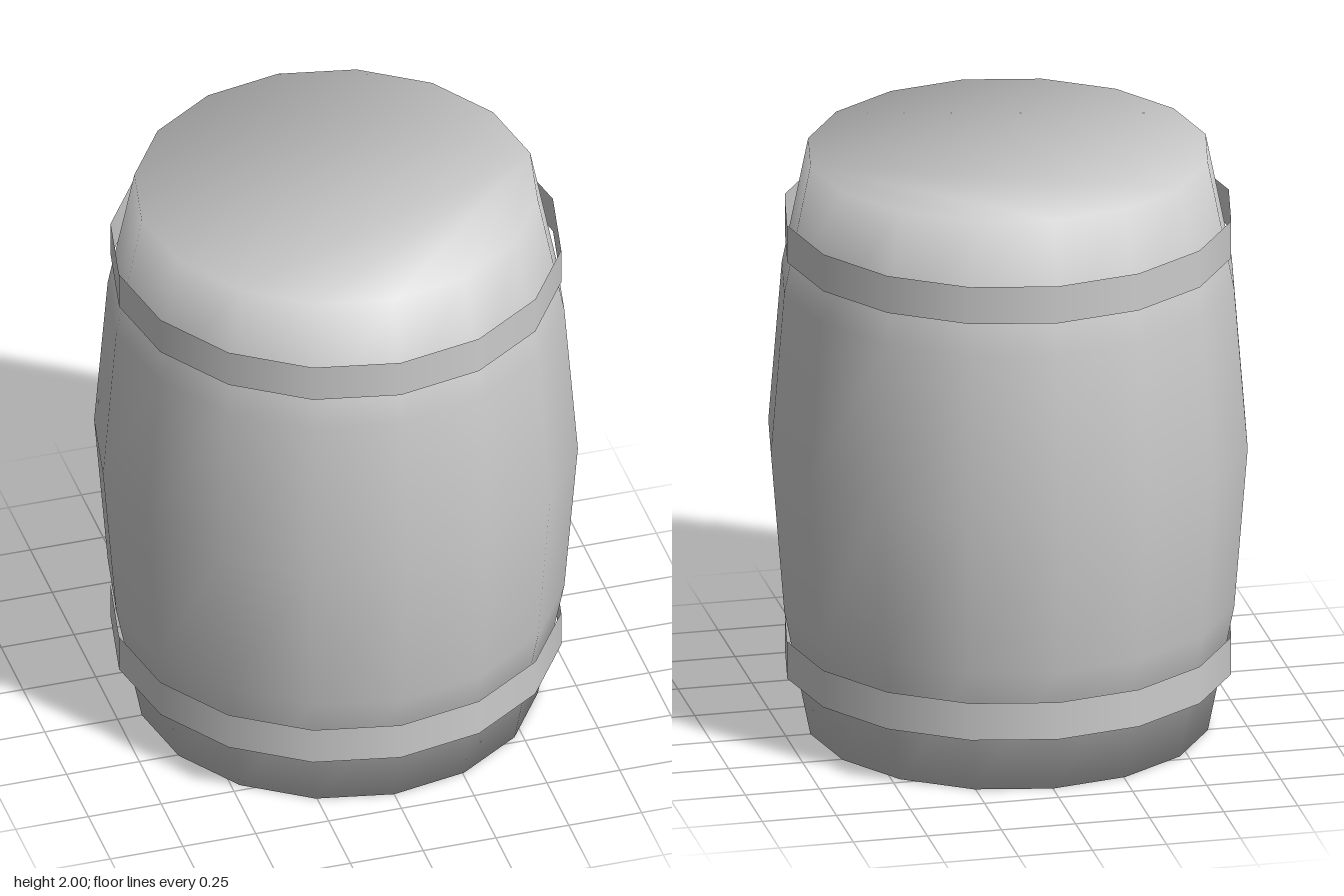
import * as THREE from 'three';

const SIDES = 16;

// Closed barrel body: rings of one shared vertex per corner, so shading runs softly over the rims.
function barrelGeometry() {
  // [radius, height, outward normal, upward normal]
  const rings = [
    [0.667, 0, 0.6, -0.8],
    [0.755, 0.44, 0.99, -0.14],
    [0.8, 1, 1, 0],
    [0.755, 1.56, 0.99, 0.14],
    [0.667, 2, 0.6, 0.8],
  ];
  const positions = [], normals = [], index = [];
  for (const [r, y, out, up] of rings) {
    for (let j = 0; j < SIDES; j++) {
      const a = (j / SIDES) * Math.PI * 2;
      const c = Math.cos(a), s = -Math.sin(a);
      positions.push(r * c, y, r * s);
      normals.push(out * c, up, out * s);
    }
  }
  // Side walls
  for (let i = 0; i < rings.length - 1; i++) {
    for (let j = 0; j < SIDES; j++) {
      const a = i * SIDES + j, b = i * SIDES + ((j + 1) % SIDES);
      index.push(a, b, b + SIDES, a, b + SIDES, a + SIDES);
    }
  }
  // Flat bottom and lid
  const top = (rings.length - 1) * SIDES;
  for (let j = 1; j < SIDES - 1; j++) {
    index.push(0, j + 1, j);
    index.push(top, top + j, top + j + 1);
  }
  const geometry = new THREE.BufferGeometry();
  geometry.setAttribute('position', new THREE.Float32BufferAttribute(positions, 3));
  geometry.setAttribute('normal', new THREE.Float32BufferAttribute(normals, 3));
  geometry.setIndex(index);
  return geometry;
}

export function createModel() {
  const group = new THREE.Group();
  group.name = 'barrel';

  const body = new THREE.Mesh(barrelGeometry(), new THREE.MeshStandardMaterial({ color: 0xcccccc }));
  body.name = 'body';
  group.add(body);

  // Thin open hoops around the body
  const hoopMaterial = new THREE.MeshStandardMaterial({ color: 0xcccccc, side: THREE.DoubleSide });
  const hoopGeometry = new THREE.CylinderGeometry(0.745, 0.745, 0.13, SIDES, 1, true);
  for (const [name, y] of [['lowerHoop', 0.267], ['upperHoop', 1.733]]) {
    const hoop = new THREE.Mesh(hoopGeometry, hoopMaterial);
    hoop.name = name;
    hoop.position.y = y;
    group.add(hoop);
  }
  return group;
}
